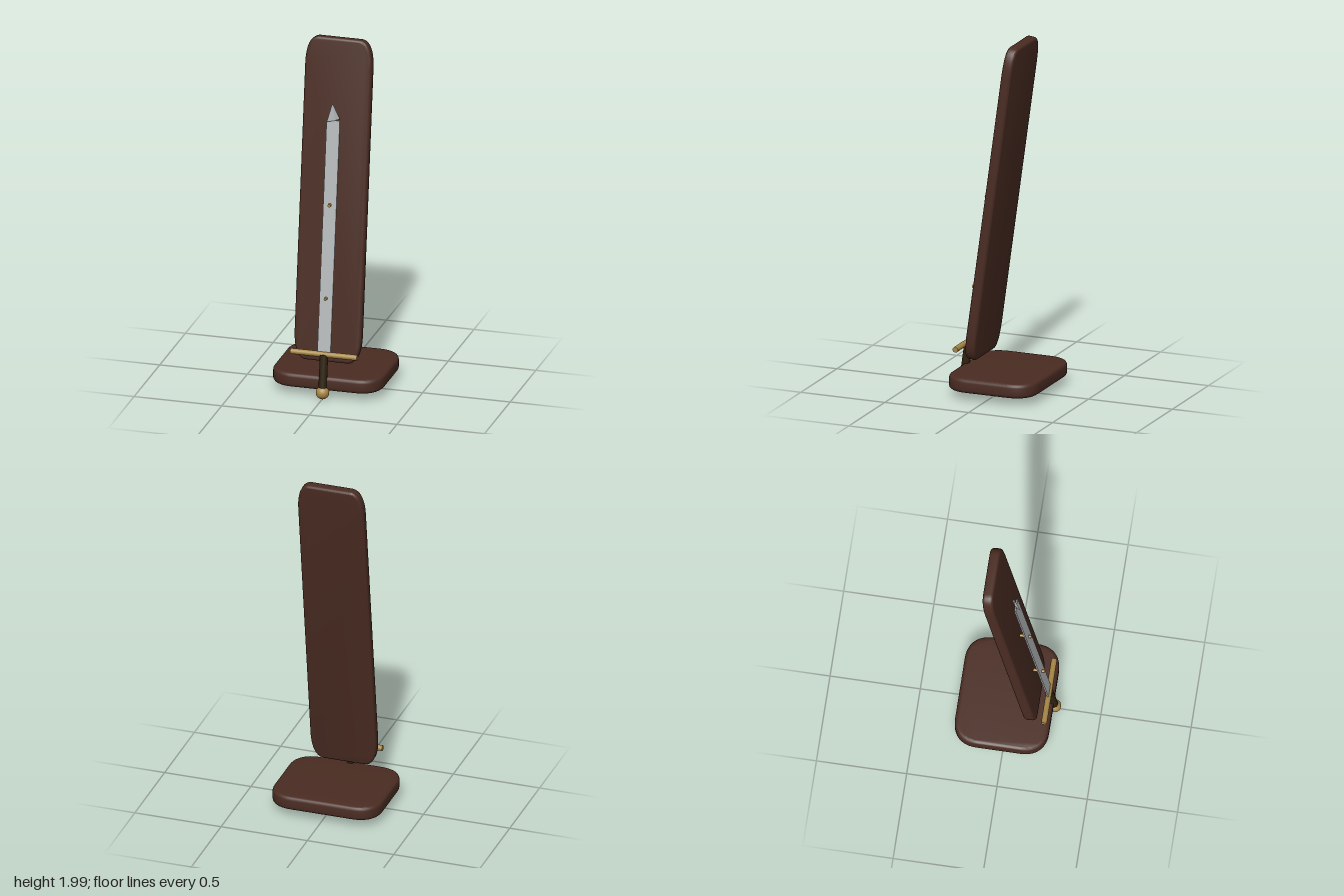
import * as THREE from 'three';
import { toCreasedNormals } from 'three/addons/utils/BufferGeometryUtils.js';

const mat = (name, color) => {
  const m = new THREE.MeshStandardMaterial({ color });
  m.name = name;
  return m;
};

// Slab with softly curved corners and rounded rims, lying in the XY plane
function slab(width, height, thickness, rx, ry, bevel) {
  const x = width / 2 - bevel, y = height / 2 - bevel;
  const s = new THREE.Shape();
  s.moveTo(-x + rx, -y);
  s.lineTo(x - rx, -y);
  s.bezierCurveTo(x - rx * 0.35, -y, x, -y + ry * 0.35, x, -y + ry);
  s.lineTo(x, y - ry);
  s.bezierCurveTo(x, y - ry * 0.35, x - rx * 0.35, y, x - rx, y);
  s.lineTo(-x + rx, y);
  s.bezierCurveTo(-x + rx * 0.35, y, -x, y - ry * 0.35, -x, y - ry);
  s.lineTo(-x, -y + ry);
  s.bezierCurveTo(-x, -y + ry * 0.35, -x + rx * 0.35, -y, -x + rx, -y);
  const g = new THREE.ExtrudeGeometry(s, {
    depth: thickness - 2 * bevel, bevelEnabled: true, bevelThickness: bevel,
    bevelSize: bevel, bevelSegments: 4, curveSegments: 12,
  });
  g.translate(0, 0, bevel - thickness / 2);
  return toCreasedNormals(g, 0.7);
}

// Four-sided flattened point, twisted across the blade
function pointGeometry() {
  const base = [[0.029, 0.002], [-0.006, 0.025], [-0.029, 0.061], [0.008, 0.031]]
    .map(([x, z]) => [x, 1.56, z]);
  const apex = [-0.008, 1.658, 0.023];
  const pos = [];
  base.forEach((p, i) => pos.push(...p, ...base[(i + 1) % 4], ...apex));
  pos.push(...base[0], ...base[2], ...base[1], ...base[0], ...base[3], ...base[2]);
  const g = new THREE.BufferGeometry();
  g.setAttribute('position', new THREE.Float32BufferAttribute(pos, 3));
  g.computeVertexNormals();
  return g;
}

export function createModel() {
  const model = new THREE.Group();
  model.name = 'swordOnStand';
  const wood = mat('dark wood', 0x4a2c22);
  const steel = mat('steel', 0xb4b8ba);
  const brass = mat('brass', 0xa88745);
  const leather = mat('dark leather', 0x2e2210);
  steel.side = THREE.DoubleSide;

  const add = (name, geometry, material, x = 0, y = 0, z = 0, rotX = 0) => {
    const m = new THREE.Mesh(geometry, material);
    m.name = name;
    m.position.set(x, y, z);
    m.rotation.x = rotX;
    model.add(m);
    return m;
  };

  // Stand: flat foot and leaning back board
  add('base', slab(0.63, 0.52, 0.08, 0.12, 0.12, 0.02), wood, 0, 0.09, -0.02, -Math.PI / 2);
  add('backBoard', slab(0.38, 1.823, 0.058, 0.06, 0.15, 0.014), wood, 0, 1.093, 0.017, -0.137);

  // Blade and its point
  add('blade', new THREE.BoxGeometry(0.075, 1.305, 0.008), steel, 0, 0.915, 0.121, -0.139);
  add('bladePoint', pointGeometry(), steel);

  // Pins holding the blade off the board
  for (const [y, z] of [[1.09, 0.083], [0.568, 0.158]]) {
    add('pin', new THREE.CylinderGeometry(0.009, 0.009, 0.064, 12), brass, 0, y, z, Math.PI / 2);
  }

  // Hilt
  const guard = add('crossGuard', new THREE.CylinderGeometry(0.016, 0.016, 0.38, 12), brass, 0, 0.254, 0.213);
  guard.rotation.z = Math.PI / 2;
  add('grip', new THREE.CylinderGeometry(0.023, 0.023, 0.205, 16), leather, 0, 0.152, 0.228, -0.139);
  add('pommel', new THREE.SphereGeometry(0.037, 20, 14), brass, 0, 0.041, 0.243);

  return model;
}
